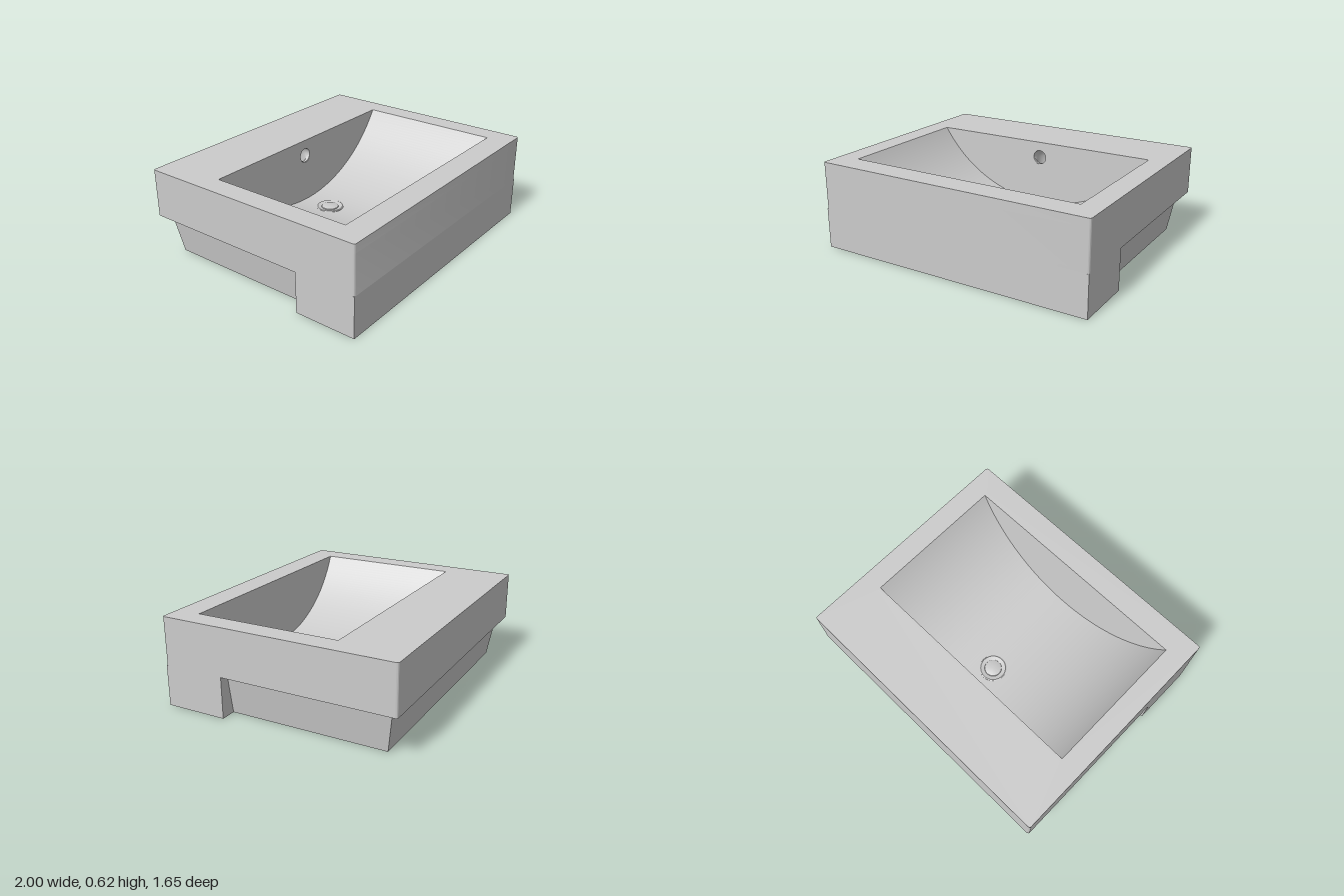
import * as THREE from 'three';
import { toCreasedNormals } from 'three/addons/utils/BufferGeometryUtils.js';

const H = 0.62, LEDGE = 0.285;          // total height, underside of the overhang
const X = 1, Z = 0.825;                 // outer half width and half depth
const BX = 0.85, BACK = -0.37, FRONT = 0.67, DEPTH = 0.46; // bowl opening and depth
const R = (BX * BX + DEPTH * DEPTH) / (2 * DEPTH);         // bowl arc radius
const CY = H - DEPTH + R;               // bowl arc centre height

export function createModel() {
  const group = new THREE.Group();
  const grey = new THREE.MeshStandardMaterial({ color: 0xcccccc, side: THREE.DoubleSide });

  const add = (name, geometry) => {
    const mesh = new THREE.Mesh(toCreasedNormals(geometry, 0.5), grey);
    mesh.name = name;
    group.add(mesh);
    return mesh;
  };

  // Extrude a plan shape (x, -z) upward from y0 to y1
  const slab = (shape, y0, y1) =>
    new THREE.ExtrudeGeometry(shape, { depth: y1 - y0, bevelEnabled: false, curveSegments: 6 })
      .rotateX(-Math.PI / 2).translate(0, y0, 0);

  const polygon = (points, Type = THREE.Shape) =>
    new Type(points.map(([x, z]) => new THREE.Vector2(x, -z)));

  const rectangle = (x, z0, z1) => polygon([[-x, z0], [x, z0], [x, z1], [-x, z1]], THREE.Path);

  // Outer plan with slightly rounded corners and a rectangular hole
  const ring = (holeBack) => {
    const r = 0.015, s = new THREE.Shape();
    s.absarc(X - r, Z - r, r, 0, Math.PI / 2);
    s.absarc(-X + r, Z - r, r, Math.PI / 2, Math.PI);
    s.absarc(-X + r, -Z + r, r, Math.PI, Math.PI * 1.5);
    s.absarc(X - r, -Z + r, r, Math.PI * 1.5, Math.PI * 2);
    s.holes.push(rectangle(BX, holeBack, FRONT));
    return s;
  };

  // Top rim and the overhanging walls
  add('rim', slab(ring(BACK - 0.02), 0.56, H));
  add('upperWalls', slab(ring(-0.7), LEDGE, 0.56));

  // Full-height front apron, hollow behind
  const f = 0.39;
  add('frontApron', slab(polygon([
    [-X, f], [-BX, f], [-BX, FRONT], [BX, FRONT], [BX, f], [X, f], [X, Z], [-X, Z],
  ]), 0, LEDGE));

  // Tapered skirt under the sides and back
  const ox = 0.935, oz = -0.765, t = 0.03;
  const skirt = slab(polygon([
    [-ox, f], [-ox, oz], [ox, oz], [ox, f],
    [ox - t, f], [ox - t, oz + t], [-ox + t, oz + t], [-ox + t, f],
  ]), 0, LEDGE);
  const p = skirt.attributes.position;
  for (let i = 0; i < p.count; i++) {
    const taper = 0.045 * (1 - p.getY(i) / LEDGE);
    p.setX(i, p.getX(i) - Math.sign(p.getX(i)) * taper);
    if (p.getZ(i) < 0) p.setZ(i, p.getZ(i) + taper);
  }
  skirt.computeVertexNormals();
  add('skirt', skirt);

  // Curved bowl floor: a thin arc swept from back to front
  const a = Math.asin(BX / R), down = -Math.PI / 2;
  const floor = new THREE.Shape();
  floor.absarc(0, CY, R, down - a, down + a, false);
  floor.absarc(0, CY, R + 0.012, down + a, down - a, true);
  add('bowlFloor', new THREE.ExtrudeGeometry(floor, {
    depth: FRONT - BACK, bevelEnabled: false, curveSegments: 48,
  }).translate(0, 0, BACK));

  // Bowl end walls: arc segments leaning inward toward the floor
  const endWall = (name, z, lean, hole) => {
    const s = new THREE.Shape();
    s.absarc(0, CY, R, down - a, down + a, false);
    if (hole) s.holes.push(new THREE.Path().absarc(0, 0.507, 0.05, 0, Math.PI * 2, true));
    const g = new THREE.ExtrudeGeometry(s, { depth: 0.02, bevelEnabled: false, curveSegments: 48 });
    const q = g.attributes.position;
    for (let i = 0; i < q.count; i++) q.setZ(i, q.getZ(i) + z + lean * (H - q.getY(i)));
    g.computeVertexNormals();
    add(name, g);
  };
  endWall('bowlBackWall', BACK - 0.02, 0.02, true);
  endWall('bowlFrontWall', FRONT - 0.02, -0.1, false);

  // Drain: flange and raised plug in the bowl, pipe below
  const y = H - DEPTH, dz = -0.14;
  const drain = add('drain', new THREE.LatheGeometry([
    [0, 0.012], [0.05, 0.012], [0.06, 0.008], [0.062, 0.002], [0.07, 0.004], [0.09, 0.008], [0.097, 0.004], [0.097, -0.01],
  ].map(([r, h]) => new THREE.Vector2(r, h)).reverse(), 40));
  drain.position.set(0, y, dz);
  add('drainPipe', new THREE.CylinderGeometry(0.11, 0.11, y - 0.012, 40))
    .position.set(0, (y - 0.012) / 2, dz);

  // Overflow pipe from the hole in the back wall down to the drain
  const path = new THREE.CatmullRomCurve3([
    [0.507, -0.375], [0.495, -0.42], [0.45, -0.44], [0.3, -0.44], [0.18, -0.43],
    [0.1, -0.38], [0.075, -0.3], [0.075, -0.15],
  ].map(([py, pz]) => new THREE.Vector3(0, py, pz)));
  add('overflowPipe', new THREE.TubeGeometry(path, 48, 0.055, 20));

  return group;
}
